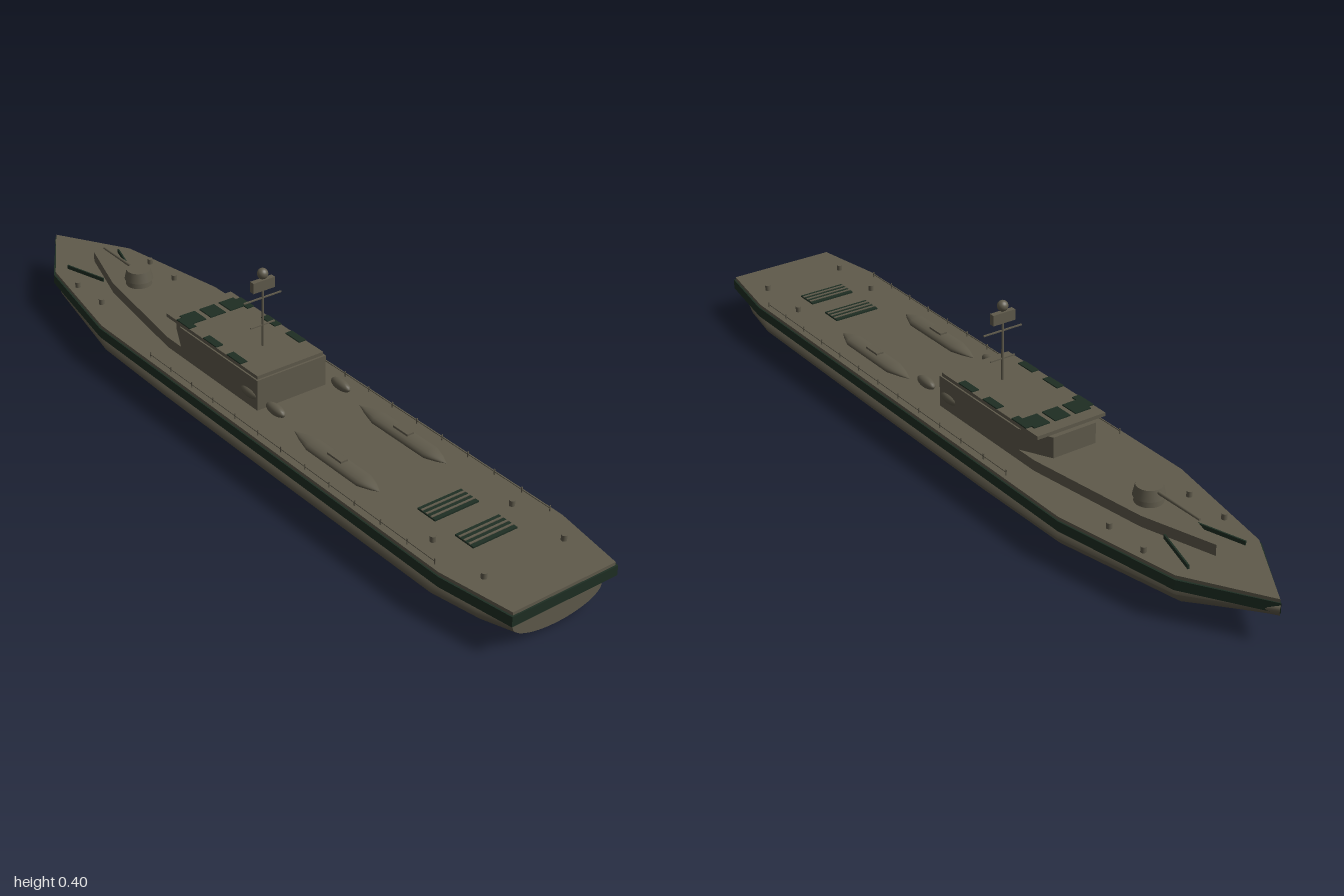
import * as THREE from 'three';

const olive = new THREE.MeshStandardMaterial({ color: 0x5f5a4b });
olive.name = 'olive grey paint';
const green = new THREE.MeshStandardMaterial({ color: 0x1e2e23 });
green.name = 'dark green';

export function createModel() {
  const ship = new THREE.Group();
  ship.name = 'patrolShip';

  const add = (name, geo, mat, x = 0, y = 0, z = 0) => {
    const m = new THREE.Mesh(geo, mat);
    m.name = name;
    m.position.set(x, y, z);
    ship.add(m);
    return m;
  };
  const box = (name, mat, w, h, d, x, y, z) => add(name, new THREE.BoxGeometry(w, h, d), mat, x, y, z);

  // Extrude a symmetric plan, given as half outline [x, z] from bow to stern
  const plan = (name, half, y0, y1, mat, inset = 0) => {
    const right = half.map(([x, z]) => [Math.max(0, x - inset), z + (z < 0 ? inset : -inset)]);
    const left = right.filter(([x]) => x > 0).map(([x, z]) => [-x, z]).reverse();
    const shape = new THREE.Shape([...right, ...left].map(([x, z]) => new THREE.Vector2(x, -z)));
    const geo = new THREE.ExtrudeGeometry(shape, { depth: y1 - y0, bevelEnabled: false });
    geo.rotateX(-Math.PI / 2);
    return add(name, geo, mat, 0, y0, 0);
  };

  // Hull lofted from elliptical sections: [z, half width, bottom, top]
  const sections = [
    [-1, 0.003, 0.073, 0.098], [-0.8, 0.108, 0.014, 0.1], [-0.48, 0.172, 0.004, 0.102],
    [-0.2, 0.176, 0.002, 0.102], [0.3, 0.176, 0.002, 0.102], [0.78, 0.174, 0.003, 0.102],
    [0.9, 0.152, 0.006, 0.101], [0.98, 0.125, 0.011, 0.1],
  ];
  const N = 32, pos = [], idx = [];
  for (const [z, w, b, t] of sections) {
    for (let i = 0; i <= N; i++) {
      const a = (i / N) * Math.PI * 2;
      pos.push(Math.cos(a) * w, (b + t) / 2 + Math.sin(a) * (t - b) / 2, z);
    }
  }
  for (let s = 0; s < sections.length - 1; s++) {
    for (let i = 0; i < N; i++) {
      const a = s * (N + 1) + i, b = a + N + 1;
      idx.push(a, a + 1, b, a + 1, b + 1, b);
    }
  }
  const hullGeo = new THREE.BufferGeometry();
  hullGeo.setAttribute('position', new THREE.Float32BufferAttribute(pos, 3));
  hullGeo.setIndex(idx);
  hullGeo.computeVertexNormals();
  add('hull', hullGeo, olive);
  const transom = add('transom', new THREE.CircleGeometry(1, N), olive, 0, 0.0555, 0.98);
  transom.scale.set(0.125, 0.0445, 1);

  // Deck edge band and deck plate
  const outline = [[0, -1], [0.12, -0.81], [0.178, -0.49], [0.178, 0.81], [0.147, 1]];
  plan('deckBand', outline, 0.078, 0.103, green);
  plan('deck', outline, 0.103, 0.111, olive, 0.004);

  // Raised foredeck, deckhouse with cut front corners, overhanging roof
  plan('foredeck', [[0, -0.8], [0.055, -0.62], [0.1, -0.3], [0.1, -0.2]], 0.11, 0.138, olive);
  plan('deckhouse', [[0.06, -0.318], [0.1, -0.24], [0.1, 0.075]], 0.11, 0.191, olive);
  box('roof', olive, 0.192, 0.009, 0.376, 0, 0.1955, -0.118);

  // Roof windows
  for (const x of [-0.058, 0, 0.058]) box('frontWindow', green, 0.044, 0.003, 0.05, x, 0.2012, -0.248);
  for (const s of [-1, 1]) {
    for (const z of [-0.235, -0.123, -0.025]) box('sideWindow', green, 0.02, 0.003, 0.055, s * 0.086, 0.2012, z);
  }

  // Mast with yards, radar and ball
  const mz = -0.04;
  add('mast', new THREE.CylinderGeometry(0.0028, 0.0035, 0.185, 10), olive, 0, 0.291, mz);
  box('upperYard', olive, 0.108, 0.003, 0.004, 0, 0.328, mz);
  box('lowerYard', olive, 0.07, 0.003, 0.004, 0, 0.256, mz);
  box('radar', olive, 0.062, 0.027, 0.014, 0, 0.363, mz);
  add('radarBall', new THREE.SphereGeometry(0.0135, 20, 14), olive, 0, 0.3915, mz);

  // Gun turret
  add('turretBase', new THREE.CylinderGeometry(0.032, 0.034, 0.018, 20), olive, 0, 0.146, -0.58);
  add('turret', new THREE.CylinderGeometry(0.031, 0.037, 0.026, 20), olive, 0, 0.166, -0.58);
  const barrel = add('gunBarrel', new THREE.CylinderGeometry(0.003, 0.0045, 0.15, 10), olive, 0, 0.172, -0.67);
  barrel.rotation.x = -Math.PI / 2;

  // Boat profile: radius along its length
  const boat = [[0, -0.155], [0.013, -0.12], [0.024, -0.08], [0.024, 0.1], [0.012, 0.132], [0, 0.155]]
    .map(([r, l]) => new THREE.Vector2(r, l));

  for (const s of [-1, 1]) {
    // Boats with small cabins
    const geo = new THREE.LatheGeometry(boat, 16);
    geo.rotateX(Math.PI / 2);
    geo.scale(1, 0.5, 1);
    add('boat', geo, olive, s * 0.095, 0.122, 0.365);
    box('boatCabin', olive, 0.02, 0.008, 0.05, s * 0.095, 0.134, 0.37);

    // Rounded canisters beside and behind the deckhouse
    for (const [x, z] of [[0.095, 0.14], [0.094, 0.04]]) {
      const pod = add('canister', new THREE.SphereGeometry(0.0135, 18, 12), olive, s * x, 0.144, z);
      pod.scale.z = 2.5;
    }

    // Angled breakwater
    const bw = box('breakwater', green, 0.004, 0.012, 0.125, s * 0.061, 0.115, -0.745);
    bw.rotation.y = -s * 0.29;

    // Bollards
    for (const z of [-0.7, -0.585, 0.715, 0.875]) {
      add('bollard', new THREE.CylinderGeometry(0.007, 0.007, 0.014, 12), olive, s * 0.112, 0.118, z);
    }

    // Low side rail with posts
    box('rail', olive, 0.002, 0.002, 1.06, s * 0.162, 0.119, 0.25);
    for (let i = 0; i <= 12; i++) {
      box('railPost', olive, 0.0025, 0.015, 0.0025, s * 0.162, 0.118, -0.28 + i * 1.06 / 12);
    }
  }

  // Stern hatches with slats
  for (const z of [0.635, 0.757]) {
    box('hatch', green, 0.124, 0.004, 0.058, 0, 0.113, z);
    for (let i = -1; i <= 1; i++) box('hatchSlat', olive, 0.124, 0.003, 0.005, 0, 0.1155, z + i * 0.016);
  }
  return ship;
}
